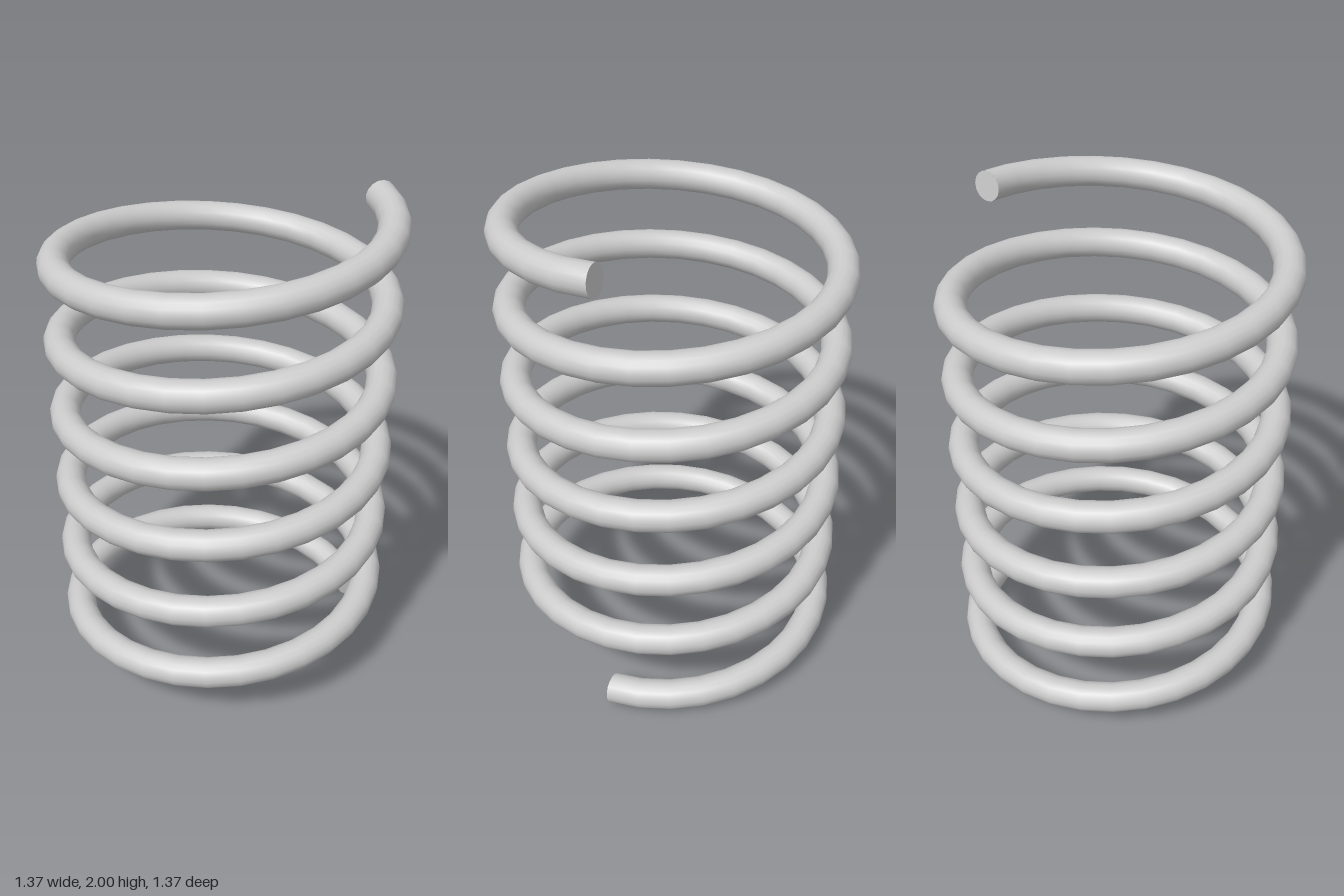
import * as THREE from 'three';

const TURNS = 6, COIL_RADIUS = 0.623, WIRE_RADIUS = 0.06, HEIGHT = 2;
const STEPS = TURNS * 32, SIDES = 16;

// Centre line of the wire: starts at +x and winds towards the back as it rises
class Helix extends THREE.Curve {
  getPoint(t, target = new THREE.Vector3()) {
    const a = t * TURNS * Math.PI * 2;
    return target.set(
      COIL_RADIUS * Math.cos(a),
      WIRE_RADIUS + t * (HEIGHT - 2 * WIRE_RADIUS),
      -COIL_RADIUS * Math.sin(a)
    );
  }
}

// Flat disc closing one end of the wire, facing along the given direction
function endCap(name, centre, direction, material) {
  const cap = new THREE.Mesh(new THREE.CircleGeometry(WIRE_RADIUS, SIDES), material);
  cap.name = name;
  cap.position.copy(centre);
  cap.lookAt(centre.clone().add(direction));
  return cap;
}

export function createModel() {
  const group = new THREE.Group();
  group.name = 'coilSpring';
  const material = new THREE.MeshStandardMaterial({ color: 0xcccccc });
  const helix = new Helix();

  // Coiled wire
  const wire = new THREE.Mesh(new THREE.TubeGeometry(helix, STEPS, WIRE_RADIUS, SIDES, false), material);
  wire.name = 'coiledWire';
  group.add(wire);

  // Cut ends
  group.add(
    endCap('lowerEnd', helix.getPoint(0), helix.getTangent(0).negate(), material),
    endCap('upperEnd', helix.getPoint(1), helix.getTangent(1), material)
  );
  return group;
}
